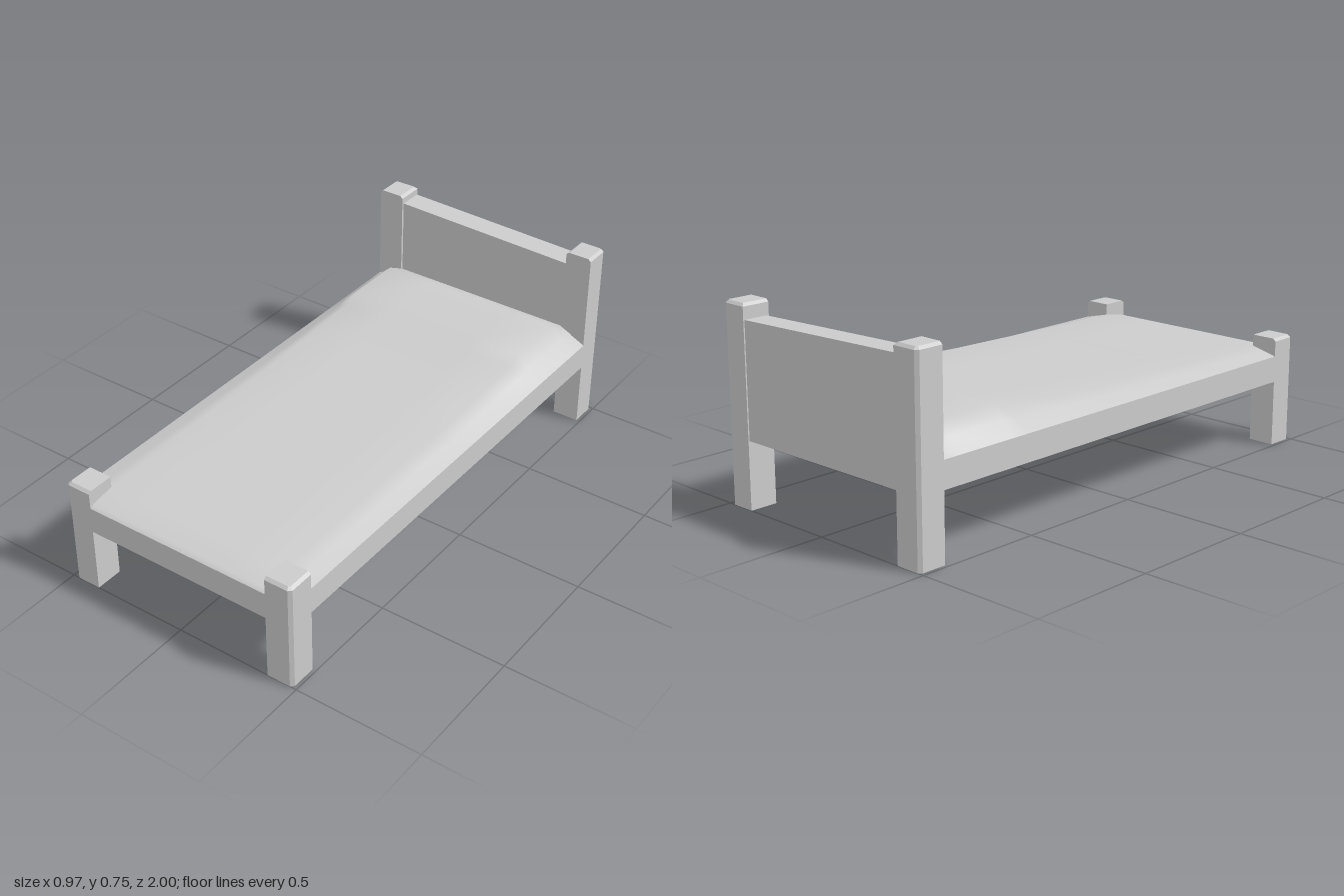
import * as THREE from 'three';

const material = new THREE.MeshStandardMaterial({ color: 0xcccccc, flatShading: true });
const openMaterial = new THREE.MeshStandardMaterial({ color: 0xcccccc, flatShading: true, side: THREE.DoubleSide });
const softMaterial = new THREE.MeshStandardMaterial({ color: 0xcccccc, side: THREE.DoubleSide });

const W = 0.486, INNER_X = 0.38, INNER_Z = 0.89, CUT = 0.012;
const RAIL_LOW = 0.255, RAIL_TOP = 0.357;

function addMesh(group, name, geometry, mat) {
  const mesh = new THREE.Mesh(geometry, mat);
  mesh.name = name;
  group.add(mesh);
  return mesh;
}

function buildGeometry(positions, indices) {
  const geometry = new THREE.BufferGeometry();
  geometry.setAttribute('position', new THREE.Float32BufferAttribute(positions, 3));
  geometry.setIndex(indices);
  geometry.computeVertexNormals();
  return geometry;
}

// Hollow corner post, open below, with a chamfered outer corner and bevelled cap
function postGeometry(sx, sz, height, innerBevel) {
  const b = 0.011, ix = INNER_X + innerBevel;
  const foot = [[INNER_X, INNER_Z], [W, INNER_Z], [W, 1 - CUT], [W - CUT, 1], [INNER_X, 1]];
  const cap = [[ix, INNER_Z], [W - b, INNER_Z], [W - b, 1 - CUT - b / 2], [W - CUT - b / 2, 1 - b], [ix, 1 - b]];
  const rings = [[foot, 0], [foot, height - 0.01], [cap, height]];
  const n = foot.length, positions = [], indices = [];
  for (const [ring, y] of rings) {
    const ordered = sx * sz > 0 ? [...ring].reverse() : ring;
    for (const [x, z] of ordered) positions.push(sx * x, y, sz * z);
  }
  for (let r = 0; r < 2; r++) {
    for (let i = 0; i < n; i++) {
      const a = r * n + i, c = r * n + (i + 1) % n;
      indices.push(a, c, c + n, a, c + n, a + n);
    }
  }
  for (let i = 1; i < n - 1; i++) indices.push(2 * n, 2 * n + i, 2 * n + i + 1);
  return buildGeometry(positions, indices);
}

// Cover: a crown height per row along the bed, sloping to the rails at both sides
function coverGeometry() {
  const rows = [
    [1, 0.357], [0.985, 0.367], [INNER_Z, 0.383], [0.45, 0.392], [0, 0.402], [-0.25, 0.413],
    [-0.5, 0.426], [-0.56, 0.453], [-0.81, 0.453], [-0.9, 0.405],
  ];
  const columns = [-W, -0.43, -INNER_X, -0.19, 0, 0.19, INNER_X, 0.43, W];
  const n = columns.length, positions = [], indices = [];
  rows.forEach(([z, crown], r) => {
    columns.forEach((x, c) => {
      const t = Math.min(1, (W - Math.abs(x)) / (W - INNER_X));
      // Tuck the foot corners inside the chamfered posts
      const px = z > INNER_Z ? Math.sign(x) * Math.min(Math.abs(x), W - CUT) : x;
      positions.push(px, RAIL_TOP + (crown - RAIL_TOP) * t, z);
      if (r && c) {
        const d = r * n + c, u = d - n;
        indices.push(u - 1, u, d, u - 1, d, d - 1);
      }
    });
  });
  return buildGeometry(positions, indices);
}

function extrude(points, depth) {
  const shape = new THREE.Shape(points.map(([x, y]) => new THREE.Vector2(x, y)));
  return new THREE.ExtrudeGeometry(shape, { depth, bevelEnabled: false });
}

export function createModel() {
  const model = new THREE.Group();
  model.name = 'bed';

  // Four posts, taller at the head
  for (const sx of [-1, 1]) {
    const side = sx > 0 ? 'Left' : 'Right';
    addMesh(model, `foot${side}Post`, postGeometry(sx, 1, 0.427, 0), openMaterial);
    addMesh(model, `head${side}Post`, postGeometry(sx, -1, 0.745, 0.011), openMaterial);
  }

  // Frame slab, notched around the posts
  const frame = addMesh(model, 'frame', extrude([
    [-W, -INNER_Z], [-INNER_X, -INNER_Z], [-INNER_X, -1], [INNER_X, -1],
    [INNER_X, -INNER_Z], [W, -INNER_Z], [W, INNER_Z], [INNER_X, INNER_Z],
    [INNER_X, 0.99], [-INNER_X, 0.99], [-INNER_X, INNER_Z], [-W, INNER_Z],
  ], RAIL_TOP - RAIL_LOW), material);
  frame.rotation.x = -Math.PI / 2;
  frame.position.y = RAIL_LOW;

  // Headboard with a slightly slanting top
  const headboard = addMesh(model, 'headboard', extrude([
    [-INNER_X, RAIL_LOW], [INNER_X, RAIL_LOW], [INNER_X, 0.688], [-INNER_X, 0.71],
  ], 0.095), material);
  headboard.position.z = -0.995;

  // Blanket with the pillow rise near the head
  addMesh(model, 'cover', coverGeometry(), softMaterial);

  return model;
}
